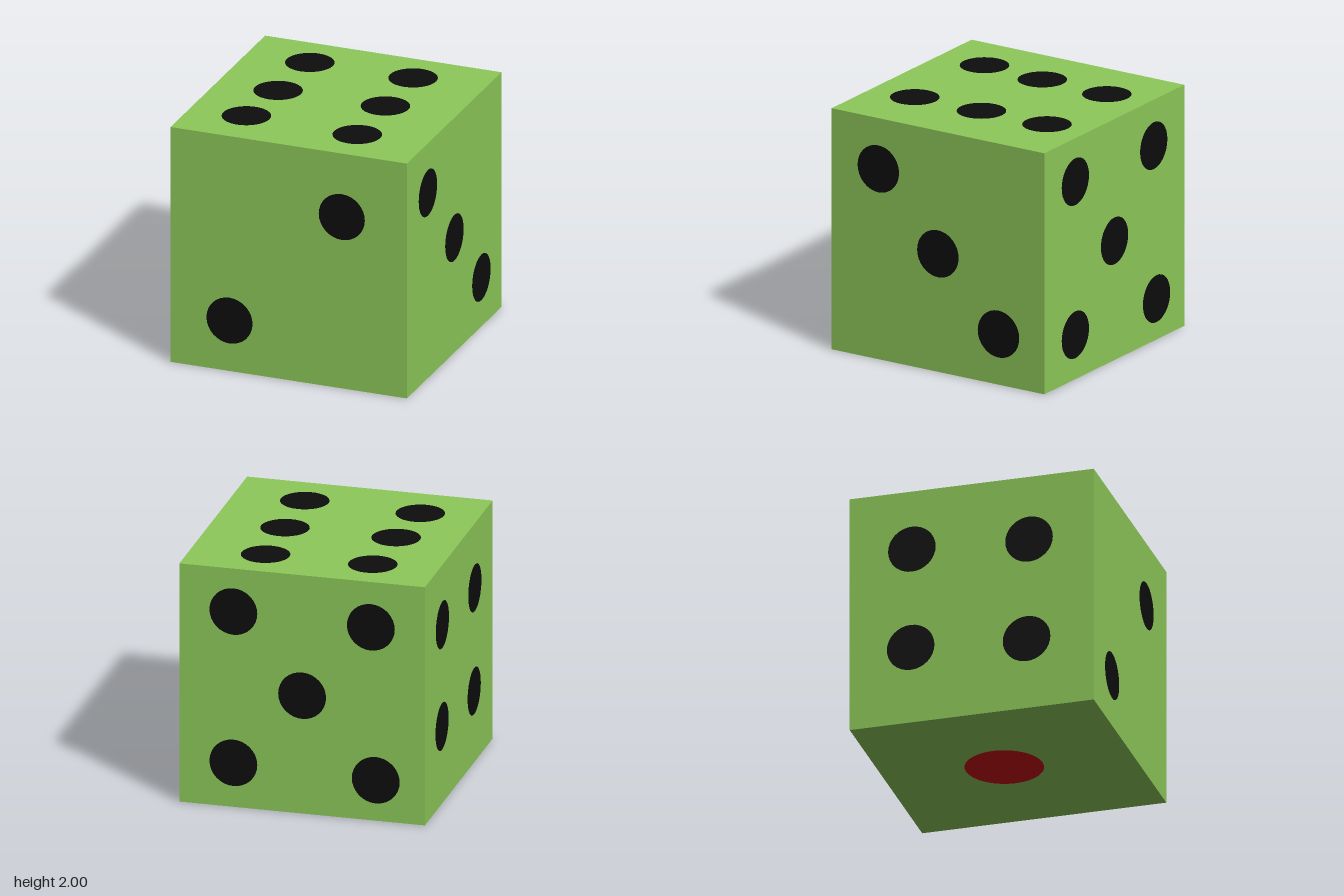
import * as THREE from 'three';

const green = new THREE.MeshStandardMaterial({ color: 0x8dc959 });
green.name = 'green';
const black = new THREE.MeshStandardMaterial({ color: 0x0d0d0d });
black.name = 'black';
const red = new THREE.MeshStandardMaterial({ color: 0xcc0a0a });
red.name = 'red';

const H = 1.002; // pips sit just proud of the faces
const PIP = 0.195;

// Each face: how it is turned, and its pips as [x, y, z] from the cube centre
const faces = [
  { name: 'front', rot: [0, 0, 0], pips: [[0.45, 0.46, H], [-0.5, -0.57, H]] },
  { name: 'left', rot: [0, Math.PI / 2, 0], pips: [[H, 0.58, 0.56], [H, -0.02, 0], [H, -0.58, -0.57]] },
  {
    name: 'top', rot: [-Math.PI / 2, 0, 0],
    pips: [[-0.47, H, -0.62], [0.4, H, -0.63], [-0.49, H, 0], [0.41, H, -0.02], [-0.53, H, 0.57], [0.42, H, 0.6]],
  },
  {
    name: 'back', rot: [0, Math.PI, 0],
    pips: [[0.56, 0.64, -H], [-0.56, 0.62, -H], [0, -0.01, -H], [0.56, -0.63, -H], [-0.6, -0.66, -H]],
  },
  {
    name: 'right', rot: [0, -Math.PI / 2, 0],
    pips: [[-H, 0.5, -0.49], [-H, 0.46, 0.47], [-H, -0.35, -0.5], [-H, -0.4, 0.45]],
  },
  { name: 'bottom', rot: [Math.PI / 2, 0, 0], pips: [[0, -H, -0.03]], radius: 0.313, material: red },
];

export function createModel() {
  const die = new THREE.Group();
  die.name = 'die';

  // Sharp-edged cube body
  const body = new THREE.Mesh(new THREE.BoxGeometry(2, 2, 2), green);
  body.name = 'body';
  body.position.y = 1;
  die.add(body);

  // Flat round pips on every face
  for (const { name, rot, pips, radius = PIP, material = black } of faces) {
    const group = new THREE.Group();
    group.name = `${name}Pips`;
    group.position.y = 1;
    const disc = new THREE.CircleGeometry(radius, 32);
    pips.forEach((p, i) => {
      const pip = new THREE.Mesh(disc, material);
      pip.name = `${name}Pip${i + 1}`;
      pip.position.set(...p);
      pip.rotation.set(...rot);
      group.add(pip);
    });
    die.add(group);
  }
  return die;
}
